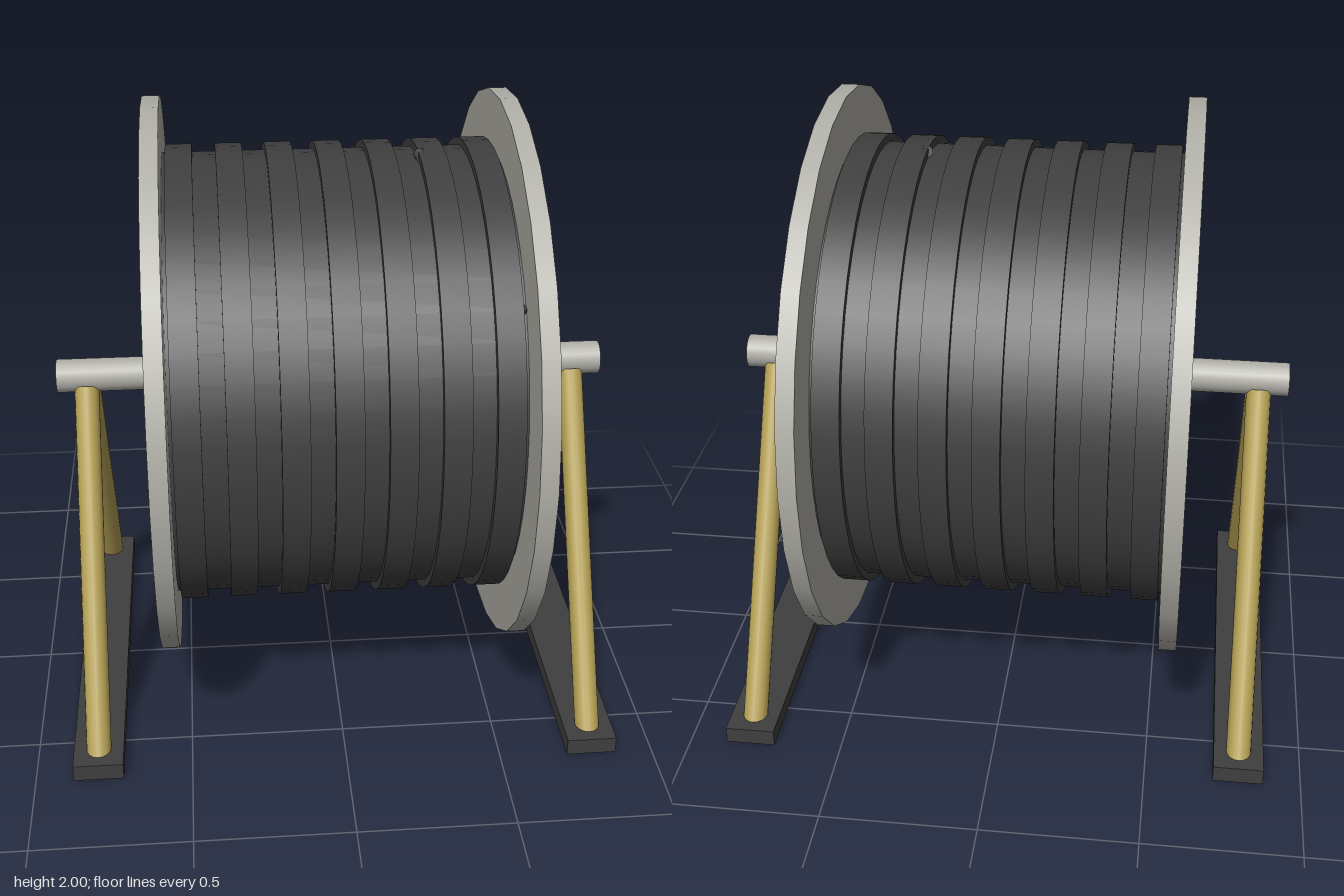
import * as THREE from 'three';

export function createModel() {
  const model = new THREE.Group();
  model.name = 'cableReel';

  const mat = (name, color) => {
    const m = new THREE.MeshStandardMaterial({ color });
    m.name = name;
    return m;
  };
  const grey = mat('paleGrey', 0xb0afa7);
  const dark = mat('cableBlack', 0x3f3f3f);
  const ochre = mat('ochre', 0xb39f54);

  const axisY = 1.105;
  const add = (name, geometry, material) => {
    const mesh = new THREE.Mesh(geometry, material);
    mesh.name = name;
    model.add(mesh);
    return mesh;
  };

  // Cylinder lying along x on the reel axis
  const disc = (name, radius, width, x, material, sides = 28) => {
    const g = new THREE.CylinderGeometry(radius, radius, width, sides);
    g.rotateZ(Math.PI / 2);
    return add(name, g.translate(x, axisY, 0), material);
  };

  // Cylinder between two points
  const bar = (name, a, b, radius, material) => {
    const dir = b.clone().sub(a);
    const mesh = add(name, new THREE.CylinderGeometry(radius, radius, dir.length(), 16), material);
    mesh.position.copy(a).add(b).multiplyScalar(0.5);
    mesh.quaternion.setFromUnitVectors(new THREE.Vector3(0, 1, 0), dir.normalize());
    return mesh;
  };

  // Axle and wound cable
  disc('axle', 0.055, 1.79, 0, grey, 20);
  disc('cableCore', 0.715, 1.06, 0, dark, 48);
  for (let i = -3; i <= 3; i++) disc('cableWinding', 0.74, 0.084, i * 0.157, dark, 48);

  // Loose cable end, mostly tucked into the windings
  bar('cableEnd', new THREE.Vector3(0.275, 1.835, 0.0), new THREE.Vector3(0.515, 1.53, 0.575), 0.018, dark);

  for (const s of [-1, 1]) {
    // Side flange
    disc('flange', 0.895, 0.056, s * 0.552, grey);

    // Stand: foot plate and A-frame legs
    const foot = add('footPlate', new THREE.BoxGeometry(0.16, 0.055, 1.38), dark);
    foot.position.set(s * 0.8, 0.0275, 0);
    for (const z of [-1, 1]) {
      bar('leg', new THREE.Vector3(s * 0.8, 0.03, z * 0.618),
        new THREE.Vector3(s * 0.8, 1.073, z * 0.025), 0.04, ochre);
    }
  }
  return model;
}
